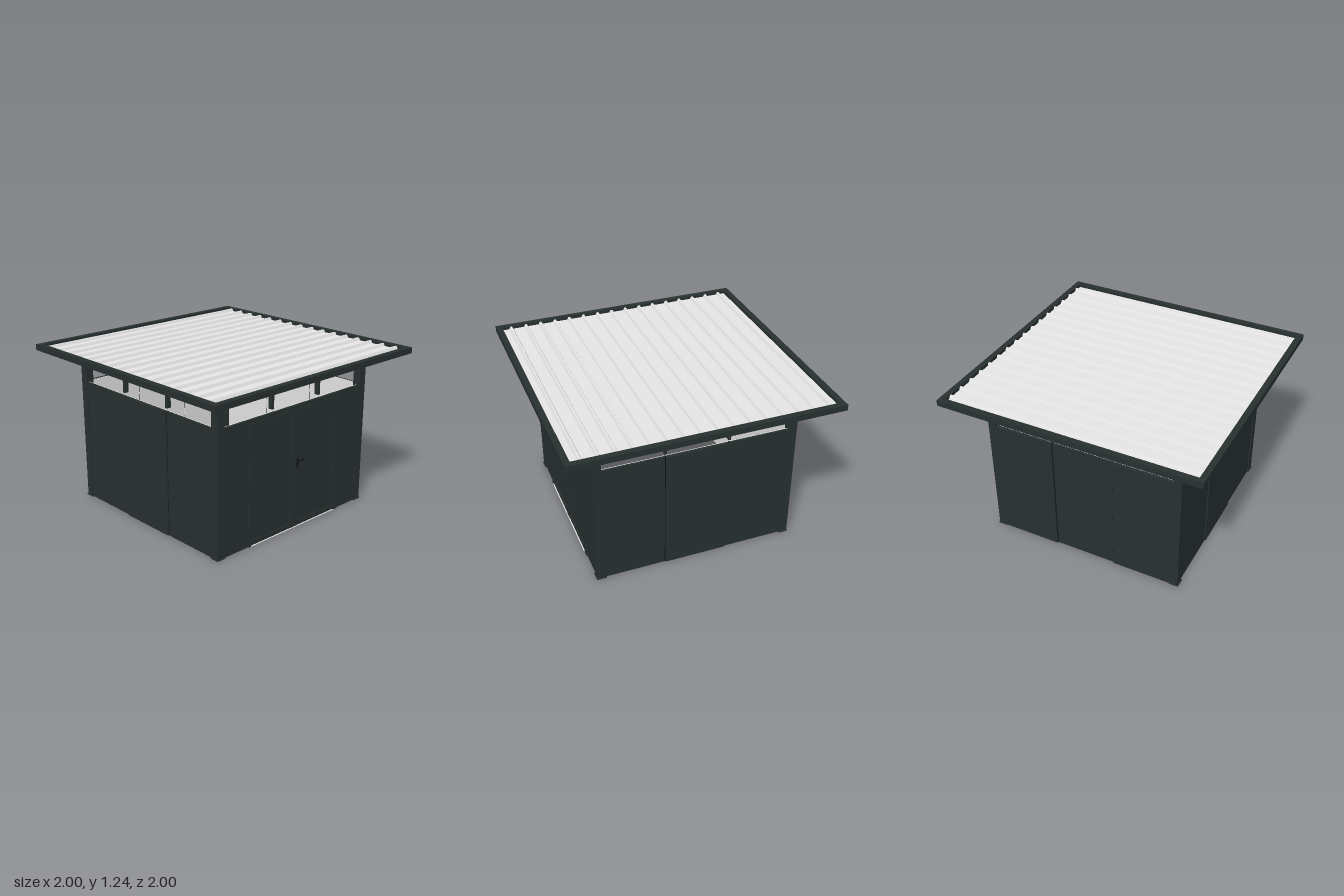
import * as THREE from 'three';

const mat = (name, color) => {
  const m = new THREE.MeshStandardMaterial({ color });
  m.name = name;
  return m;
};

export function createModel() {
  const anthracite = mat('anthracite', 0x283030);
  const black = mat('black', 0x101414);
  const pale = mat('pale sheet', 0xe6e6e6);

  const model = new THREE.Group();
  model.name = 'gardenShed';

  // box given by its min and max on each axis
  const box = (parent, name, m, x0, x1, y0, y1, z0, z1) => {
    const mesh = new THREE.Mesh(new THREE.BoxGeometry(x1 - x0, y1 - y0, z1 - z0), m);
    mesh.position.set((x0 + x1) / 2, (y0 + y1) / 2, (z0 + z1) / 2);
    mesh.name = name;
    parent.add(mesh);
  };
  // dark outside panel with a light inside face
  const panel = (parent, x0, x1, y0, y1, front = 0.757) => {
    box(parent, 'wallPanel', anthracite, x0, x1, y0, y1, 0.738, front);
    box(parent, 'panelLining', pale, x0, x1, y0, y1, 0.732, 0.738);
  };

  // corner posts with foot plates
  for (const sx of [-1, 1]) for (const sz of [-1, 1]) {
    const post = new THREE.Group();
    post.name = 'cornerPost';
    post.position.set(sx * 0.731, 0, sz * 0.731);
    box(post, 'post', anthracite, -0.031, 0.031, 0, 1.2, -0.031, 0.031);
    box(post, 'footPlate', anthracite, -0.037, 0.037, 0, 0.006, -0.037, 0.037);
    model.add(post);
  }

  // four walls with open window bands, each built facing +z and turned into place
  ['frontWall', 'leftWall', 'backWall', 'rightWall'].forEach((name, i) => {
    const wall = new THREE.Group();
    wall.name = name;
    wall.rotation.y = i * Math.PI / 2;
    model.add(wall);

    box(wall, 'topRail', anthracite, -0.7, 0.7, 1.128, 1.2, 0.71, 0.762);
    for (const s of [-1, 1])
      box(wall, 'windowMullion', anthracite, s * 0.238 - 0.01, s * 0.238 + 0.01, 0.975, 1.11, 0.722, 0.757);

    if (i === 0) {
      panel(wall, -0.7, -0.465, 0, 0.95);
      panel(wall, 0.465, 0.7, 0, 0.95);
      panel(wall, -0.465, 0.465, 0.92, 0.95);
      addDoor(wall);
    } else {
      // the middle panel is proud on the side walls and set back on the rear wall
      const [outer, middle] = i === 2 ? [0.762, 0.752] : [0.754, 0.762];
      panel(wall, -0.7, -0.241, 0, 0.95, outer);
      panel(wall, -0.235, 0.235, 0, 0.95, middle);
      panel(wall, 0.241, 0.7, 0, 0.95, outer);
      for (const s of [-1, 1])
        box(wall, 'panelSeam', black, s * 0.238 - 0.003, s * 0.238 + 0.003, 0, 0.95, 0.734, 0.752);
    }
  });

  // double door
  function addDoor(wall) {
    const door = new THREE.Group();
    door.name = 'doubleDoor';
    wall.add(door);
    box(door, 'leftJamb', anthracite, 0.445, 0.49, 0, 0.935, 0.735, 0.765);
    box(door, 'rightJamb', anthracite, -0.468, -0.445, 0, 0.922, 0.735, 0.765);
    box(door, 'doorHead', anthracite, -0.468, 0.445, 0.9, 0.922, 0.735, 0.765);
    box(door, 'threshold', pale, -0.445, 0.445, 0, 0.004, 0.735, 0.768);
    for (const s of [-1, 1]) {
      const leaf = new THREE.Group();
      leaf.name = s > 0 ? 'leftLeaf' : 'rightLeaf';
      door.add(leaf);
      const part = (n, m, a, b, y0, y1, z0, z1) =>
        box(leaf, n, m, Math.min(s * a, s * b), Math.max(s * a, s * b), y0, y1, z0, z1);
      part('outerStile', anthracite, 0.42, 0.445, 0.004, 0.9, 0.733, 0.76);
      part('innerStile', anthracite, 0.001, 0.038, 0.004, 0.9, 0.733, 0.762);
      part('topStile', anthracite, 0.038, 0.42, 0.877, 0.9, 0.733, 0.76);
      part('bottomStile', anthracite, 0.038, 0.42, 0.004, 0.04, 0.733, 0.76);
      part('leafPanel', anthracite, 0.038, 0.42, 0.04, 0.877, 0.743, 0.752);
      part('leafLining', pale, 0.038, 0.42, 0.04, 0.877, 0.737, 0.743);
    }
    // handle on both faces
    for (const [n, z0, z1, zb] of [['outside', 0.762, 0.767, 0.782], ['inside', 0.728, 0.733, 0.713]]) {
      box(door, n + 'LockPlate', black, 0.015, 0.031, 0.475, 0.545, z0, z1);
      box(door, n + 'HandleNeck', black, 0.019, 0.027, 0.526, 0.534, Math.min(z0, zb), Math.max(z1, zb));
      box(door, n + 'HandleLever', black, 0.019, 0.072, 0.526, 0.535, zb - 0.004, zb + 0.004);
    }
  }

  // roof: edge frame around a ribbed sheet
  const roof = new THREE.Group();
  roof.name = 'roof';
  model.add(roof);
  for (const s of [-1, 1]) {
    const a = s > 0 ? 0.955 : -1, b = s > 0 ? 1 : -0.955;
    box(roof, 'sideFascia', anthracite, a, b, 1.19, 1.235, -1, 1);
    box(roof, 'endFascia', anthracite, -0.955, 0.955, 1.19, 1.235, a, b);
  }
  box(roof, 'roofSheet', pale, -0.955, 0.955, 1.2, 1.212, -0.955, 0.955);

  // steep trapezoid ribs running across the width
  const profile = new THREE.Shape([
    new THREE.Vector2(-0.017, 0), new THREE.Vector2(0.017, 0),
    new THREE.Vector2(0.007, 0.02), new THREE.Vector2(-0.007, 0.02),
  ]);
  const ribGeo = new THREE.ExtrudeGeometry(profile, { depth: 1.91, bevelEnabled: false });
  ribGeo.translate(0, 0, -0.955).rotateY(Math.PI / 2);
  for (let i = 0; i < 16; i++) {
    const r = new THREE.Mesh(ribGeo, pale);
    r.name = 'roofRib';
    r.position.set(0, 1.212, -0.899 + i * 0.119);
    roof.add(r);
  }
  return model;
}
